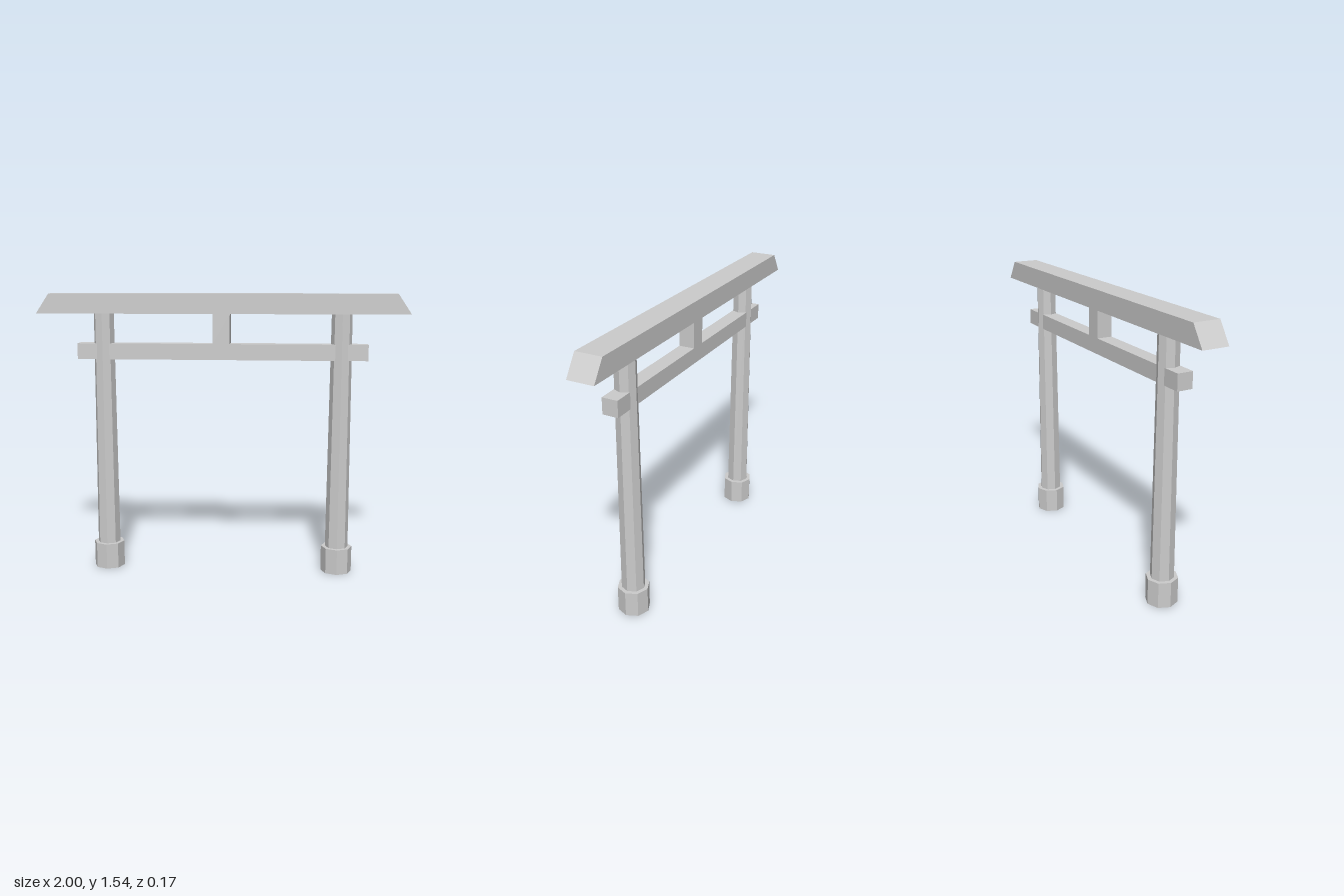
import * as THREE from 'three';

export function createModel() {
  const group = new THREE.Group();
  const stone = new THREE.MeshStandardMaterial({ color: 0xcccccc, flatShading: true });
  stone.name = 'light grey stone';

  const add = (name, geometry, x, y, z = 0) => {
    const mesh = new THREE.Mesh(geometry, stone);
    mesh.name = name;
    mesh.position.set(x, y, z);
    group.add(mesh);
  };

  // Tapered octagonal pillars on octagonal footings
  const footHeight = 0.142, lintelBottom = 1.43, lintelTop = 1.537;
  for (const [side, x] of [['left', 0.644], ['right', -0.644]]) {
    add(side + 'Footing', new THREE.CylinderGeometry(0.085, 0.085, footHeight, 8), x, footHeight / 2);
    const height = lintelBottom - footHeight;
    add(side + 'Pillar', new THREE.CylinderGeometry(0.055, 0.063, height, 8), x, footHeight + height / 2);
  }

  // Tie beam passing through both pillars, with a short strut above its middle
  add('tieBeam', new THREE.BoxGeometry(1.57, 0.086, 0.085), 0, 1.226);
  const strutBottom = 1.269;
  add('centreStrut', new THREE.BoxGeometry(0.093, lintelBottom - strutBottom, 0.085), 0, (strutBottom + lintelBottom) / 2);

  // Top lintel with ends sloping inward towards the top
  const profile = new THREE.Shape([
    new THREE.Vector2(-1, lintelBottom),
    new THREE.Vector2(1, lintelBottom),
    new THREE.Vector2(0.928, lintelTop),
    new THREE.Vector2(-0.928, lintelTop),
  ]);
  const depth = 0.143;
  add('topLintel', new THREE.ExtrudeGeometry(profile, { depth, bevelEnabled: false }), 0, 0, -depth / 2);

  return group;
}
